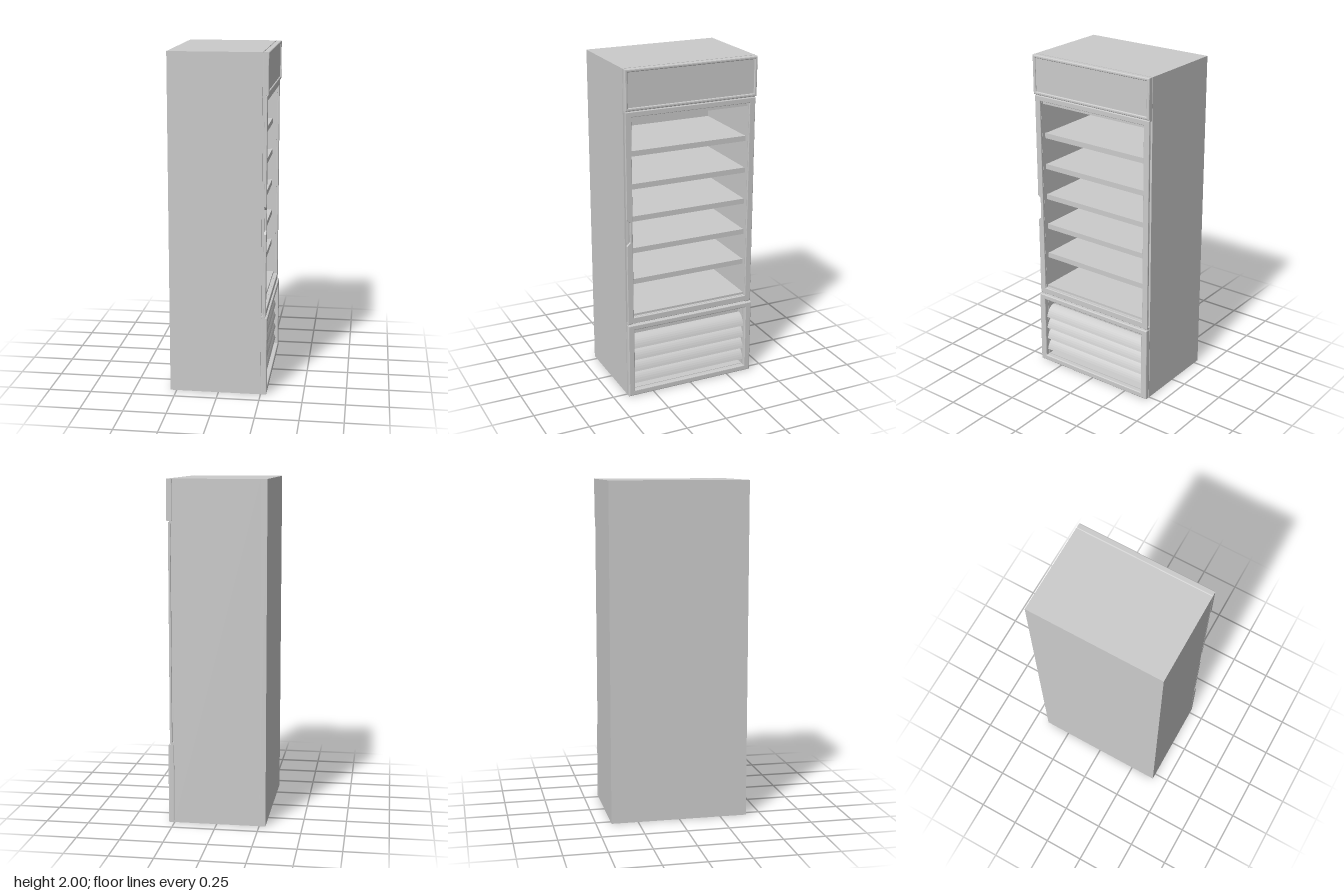
import * as THREE from 'three';

const material = new THREE.MeshStandardMaterial({ color: 0xcccccc, side: THREE.DoubleSide });
const HALF = 0.41;    // half width of the cabinet
const OPEN = 0.37;    // half width of the openings
const FRONT = 0.25;   // front plane of the carcass

export function createModel() {
  const model = new THREE.Group();
  model.name = 'displayCooler';

  const add = (name, geometry) => {
    const mesh = new THREE.Mesh(geometry, material);
    mesh.name = name;
    model.add(mesh);
    return mesh;
  };

  const box = (name, x0, x1, y0, y1, z0, z1) =>
    add(name, new THREE.BoxGeometry(x1 - x0, y1 - y0, z1 - z0))
      .position.set((x0 + x1) / 2, (y0 + y1) / 2, (z0 + z1) / 2);

  const polygon = (points) => points.map(([u, v]) => new THREE.Vector2(u, v));
  const rect = (half, y0, y1) => polygon([[-half, y0], [half, y0], [half, y1], [-half, y1]]);

  // Frame drawn in the door plane and extruded along x
  const frame = (name, outline, holes, x0, x1, bevel = 0) => {
    const shape = new THREE.Shape(outline);
    holes.forEach((h) => shape.holes.push(new THREE.Path(h)));
    const geometry = new THREE.ExtrudeGeometry(shape, {
      depth: x1 - x0 - 2 * bevel,
      bevelEnabled: bevel > 0,
      bevelThickness: bevel,
      bevelSize: bevel,
      bevelOffset: -bevel,
      bevelSegments: 3,
    });
    geometry.translate(0, 0, x0 + bevel);
    geometry.rotateY(Math.PI / 2);
    return add(name, geometry);
  };

  // Carcass with the display compartment and the machine compartment
  frame('cabinetShell', rect(HALF, 0, 2),
    [rect(OPEN, 0.525, 1.705), rect(OPEN, 0.035, 0.435)], -0.25, FRONT);
  box('backPanel', -0.287, -0.25, 0, 2, -HALF, HALF);

  // Shelves
  for (let i = 0; i < 5; i++) {
    const top = 1.52 - i * 0.195;
    box('shelf', -0.25, 0.225, top - 0.018, top, -OPEN, OPEN);
    box('shelfFrontRail', 0.225, 0.237, top - 0.03, top + 0.002, -OPEN, OPEN);
  }

  // Header with an inset sign panel
  frame('headerFrame', rect(HALF, 1.765, 2), [rect(0.392, 1.783, 1.982)], FRONT, 0.285, 0.006);
  box('headerPanel', FRONT, 0.278, 1.775, 1.99, -0.4, 0.4);

  // Door: gasket, then a frame with a finger notch in its left edge
  const opening = rect(OPEN, 0.512, 1.728);
  frame('doorGasket', rect(0.398, 0.485, 1.75), [opening], FRONT, 0.263);
  frame('doorFrame', polygon([
    [-0.407, 0.475], [0.407, 0.475], [0.407, 1.758], [-0.407, 1.758],
    [-0.407, 1.13], [-0.385, 1.11], [-0.385, 0.99], [-0.407, 0.97],
  ]), [opening], 0.262, 0.276, 0.003);

  // Hinge blocks above and below the door
  for (const y of [0.467, 1.752]) {
    for (const side of [-1, 1]) {
      const z = side * 0.392;
      box('hinge', FRONT, 0.268, y, y + 0.014, z - 0.014, z + 0.014);
    }
  }

  // Lower grille
  frame('grilleFrame', rect(HALF, 0, 0.467), [rect(OPEN, 0.035, 0.435)], FRONT, 0.285, 0.006);
  box('grilleBacking', 0.18, 0.195, 0.035, 0.435, -OPEN, OPEN);

  // Curved louvres that slope down towards the front
  const louvre = new THREE.Shape();
  louvre.moveTo(0.205, 0.07);
  louvre.quadraticCurveTo(0.252, 0.06, 0.268, 0);
  louvre.lineTo(0.26, -0.004);
  louvre.quadraticCurveTo(0.245, 0.05, 0.205, 0.06);
  louvre.closePath();
  const slat = new THREE.ExtrudeGeometry(louvre, {
    depth: 2 * OPEN, bevelEnabled: false, curveSegments: 8,
  });
  slat.translate(0, 0, -OPEN);
  for (let i = 0; i < 4; i++) add('grilleLouvre', slat).position.y = 0.073 + i * 0.077;

  return model;
}
